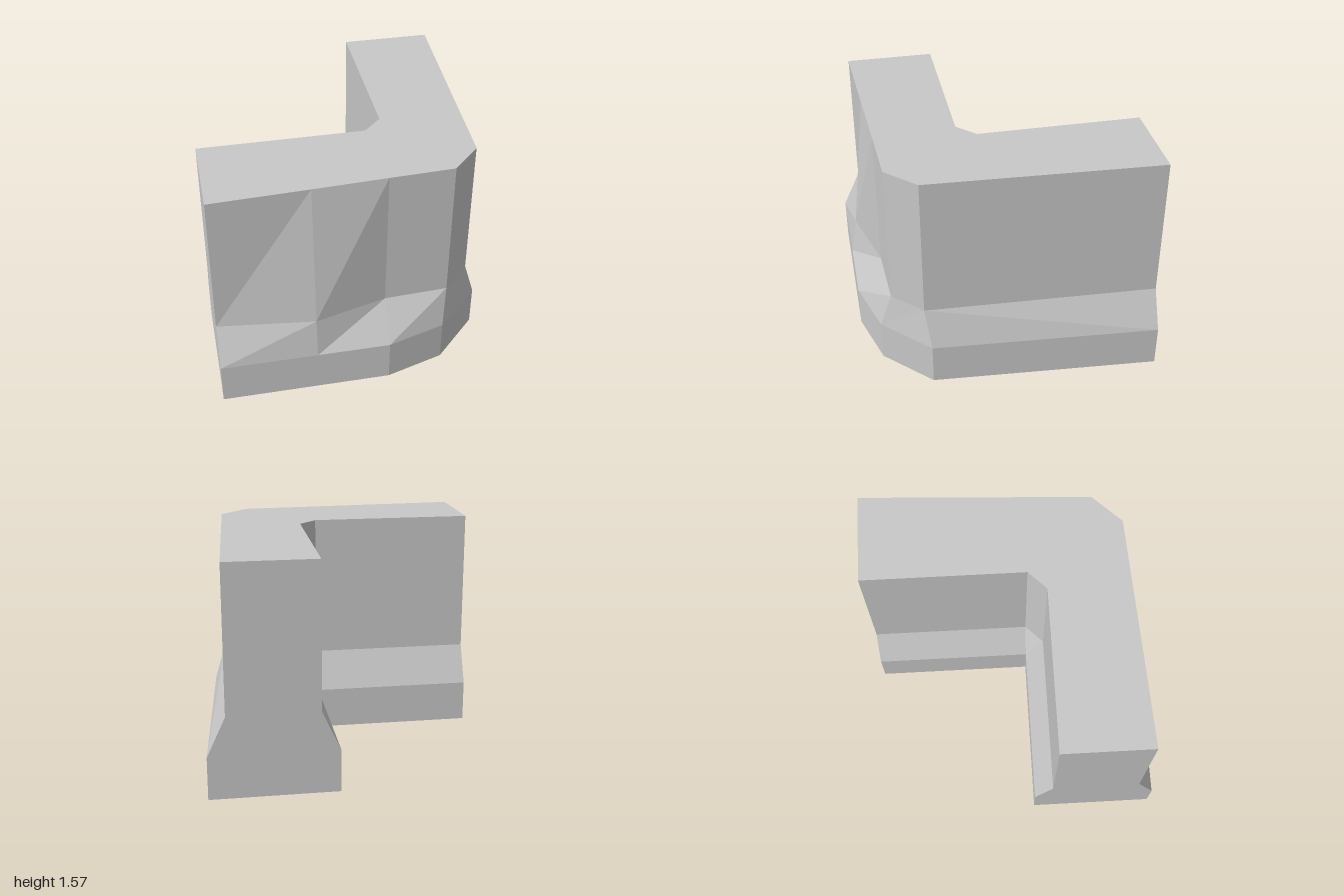
import * as THREE from 'three';

// Horizontal outlines [x, z], counterclockwise from above, starting at the left end of the front face
const footing = [[-1, 1], [-0.34, 1], [0.16, 1], [0.565, 0.88], [0.88, 0.565],
  [1, -1], [0.13, -1], [0.13, 0.13], [0.13, 0.13], [-1, 0.13]];
const wall = [[-1, 0.875], [-0.34, 0.845], [0.16, 0.82], [0.6, 0.8], [0.795, 0.6],
  [0.875, -1], [0.255, -1], [0.255, 0.13], [0.13, 0.255], [-1, 0.255]];
// The wall foot bulges outward at one point of the front
const wallFoot = wall.map((p, i) => (i === 1 ? [-0.34, 0.955] : p));

const at = (outline, y) => outline.map(([x, z]) => new THREE.Vector3(x, y, z));

function toMesh(name, triangles, material) {
  const solid = triangles.filter(([a, b, c]) => new THREE.Triangle(a, b, c).getArea() > 1e-6);
  const geometry = new THREE.BufferGeometry().setFromPoints(solid.flat());
  geometry.computeVertexNormals();
  const mesh = new THREE.Mesh(geometry, material);
  mesh.name = name;
  return mesh;
}

// Band of faces joining two outlines
function band(low, high) {
  const triangles = [];
  low.forEach((a, i) => {
    const j = (i + 1) % low.length;
    const b = low[j], c = high[j], d = high[i];
    if (i === 4) triangles.push([a, b, d], [b, c, d]);
    else triangles.push([a, b, c], [a, c, d]);
  });
  return triangles;
}

// Flat cap filling one outline
function cap(ring, up) {
  const flat = ring.map((p) => new THREE.Vector2(p.x, -p.z));
  return THREE.ShapeUtils.triangulateShape(flat, [])
    .map(([a, b, c]) => (up ? [ring[a], ring[b], ring[c]] : [ring[a], ring[c], ring[b]]));
}

export function createModel() {
  const group = new THREE.Group();
  group.name = 'cornerWall';
  const stone = new THREE.MeshStandardMaterial({ color: 0xc8c8c8 });
  stone.name = 'light grey stone';

  const ground = at(footing, 0);
  const ledge = at(footing, 0.295);
  const foot = at(wallFoot, 0.565);
  const top = at(wall, 1.57);

  group.add(
    toMesh('underside', cap(ground.filter((p, i) => i !== 8), false), stone),
    toMesh('footing', band(ground, ledge), stone),
    toMesh('slopedLedge', band(ledge, foot), stone),
    toMesh('wallFaces', band(foot, top), stone),
    toMesh('wallTop', cap(top, true), stone),
  );
  return group;
}
